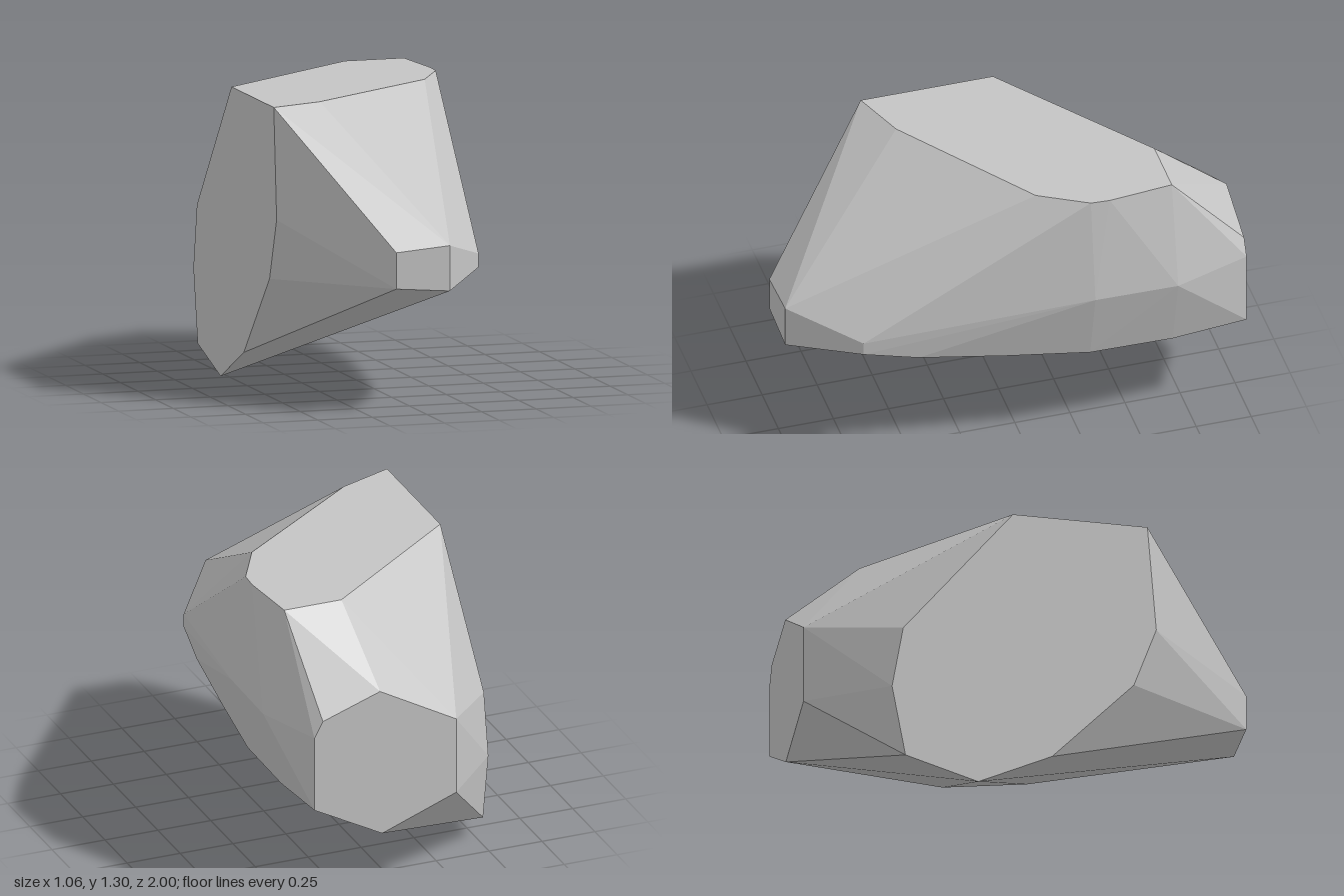
import * as THREE from 'three';
import { ConvexGeometry } from 'three/addons/geometries/ConvexGeometry.js';

// Each ring of corners is one cut or ridge of the stone
const LEFT = -0.53, TOP = 1.3, FRONT = 1, BACK = -1;

// flat top cut: [x, z]
const topCut = [
  [LEFT, 0.47], [-0.29, 0.38], [0.335, -0.07], [0.455, -0.285],
  [0.46, -0.37], [0.43, -0.66], [0.16, -0.66], [LEFT, -0.13],
];
// flat side cut: [y, z]
const sideCut = [
  [0.81, 0.51], [0.535, 0.41], [0.155, 0.045], [0, -0.285],
  [0.095, -0.61], [0.42, -0.67], [0.705, -0.62],
];
// small front cut: [x, y]
const frontCut = [[-0.14, 0.72], [0.105, 0.74], [0.105, 0.54], [-0.14, 0.56]];
// back cut: [x, y]
const backCut = [
  [0.43, 0.83], [0.39, 0.905], [0.12, 1], [-0.24, 0.8],
  [-0.24, 0.445], [0.11, 0.312], [0.43, 0.483],
];
// corners of the rough side and the underside: [x, y, z]
const roughCorners = [
  [0.33, 0.65, 0.71], [0.33, 0.59, 0.71], [0.37, 0.55, 0.47], [0.41, 0.505, 0.08],
  [0.445, 0.47, -0.285], [0.445, 0.465, -0.66],
  [0.525, 0.817, -0.285], [0.53, 0.817, -0.66],
  [0.15, 0.28, -0.29], [0.12, 0.32, 0.08],
];

export function createModel() {
  const group = new THREE.Group();
  group.name = 'rock';

  const stone = new THREE.MeshStandardMaterial({ color: 0xc4c4c4, flatShading: true });
  stone.name = 'light grey stone';

  const corners = [
    ...topCut.map(([x, z]) => [x, TOP, z]),
    ...sideCut.map(([y, z]) => [LEFT, y, z]),
    ...frontCut.map(([x, y]) => [x, y, FRONT]),
    ...backCut.map(([x, y]) => [x, y, BACK]),
    ...roughCorners,
  ].map((p) => new THREE.Vector3(...p));

  const boulder = new THREE.Mesh(new ConvexGeometry(corners), stone);
  boulder.name = 'boulder';
  group.add(boulder);
  return group;
}
